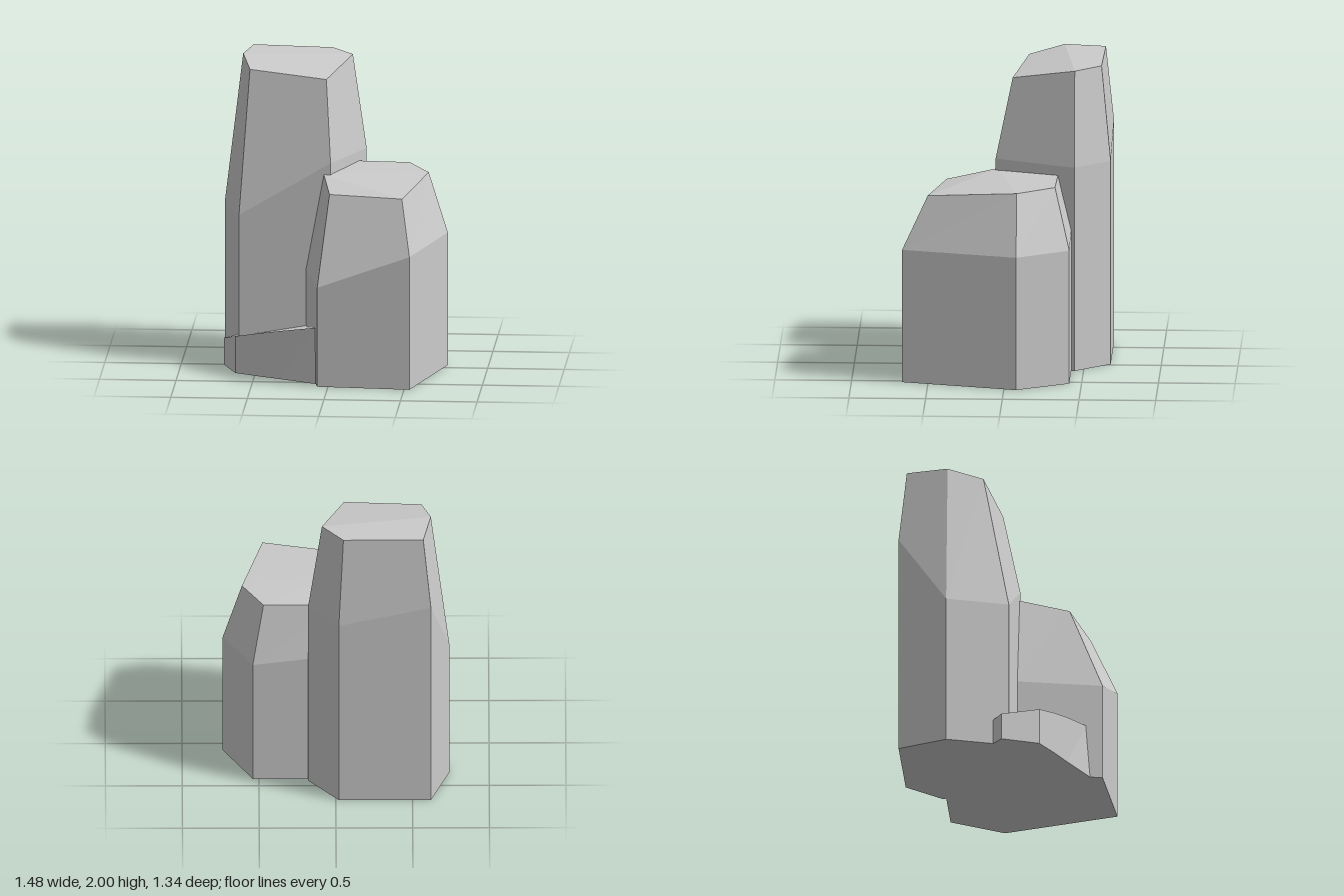
import * as THREE from 'three';

// Faceted rock lofted through rings of [x, y, z], each running counter-clockwise seen from above
function rock(name, rings, material) {
  const pos = [];
  const tri = (a, b, c) => pos.push(...a, ...b, ...c);
  const n = rings[0].length;
  for (let r = 0; r < rings.length - 1; r++) {
    const lo = rings[r], hi = rings[r + 1];
    for (let i = 0; i < n; i++) {
      const j = (i + 1) % n;
      tri(lo[i], lo[j], hi[j]);
      tri(lo[i], hi[j], hi[i]);
    }
  }
  // Caps fan out from the last (left-hand) corner
  const base = rings[0], top = rings[rings.length - 1];
  for (let i = 0; i < n - 2; i++) {
    tri(top[n - 1], top[i], top[i + 1]);
    tri(base[n - 1], base[i + 1], base[i]);
  }
  const g = new THREE.BufferGeometry();
  g.setAttribute('position', new THREE.Float32BufferAttribute(pos, 3));
  g.computeVertexNormals();
  const mesh = new THREE.Mesh(g, material);
  mesh.name = name;
  return mesh;
}

// Place a plan outline [x, z] on the ground or at a list of heights
const raise = (plan, heights) => plan.map(([x, z], i) => [x, heights ? heights[i] : 0, z]);

export function createModel() {
  const group = new THREE.Group();
  group.name = 'rockCluster';
  const stone = new THREE.MeshStandardMaterial({ color: 0xcccccc, flatShading: true });

  // Tall rock: upright sides to a sloping shoulder, then a taper to a tilted top
  const tallPlan = [[-0.62, 0.05], [-0.02, 0.08], [0.18, -0.44], [-0.02, -0.67], [-0.62, -0.67], [-0.74, -0.35]];
  const tallTop = [[-0.56, -0.12], [-0.055, -0.03], [0.09, -0.44], [-0.05, -0.61], [-0.57, -0.62], [-0.62, -0.35]];
  group.add(rock('tallRock', [
    raise(tallPlan),
    raise(tallPlan, [1.01, 1.37, 1.36, 1.36, 1.5, 1.01]),
    raise(tallTop, [1.945, 1.905, 1.985, 1.99, 2.0, 2.0]),
  ], stone));

  // Middle rock: wider and shorter, same build
  const midPlan = [[-0.07, 0.62], [0.535, 0.67], [0.735, -0.08], [0.54, -0.42], [-0.07, -0.42], [-0.185, 0.05]];
  const midTop = [[-0.005, 0.4], [0.475, 0.505], [0.61, -0.08], [0.47, -0.325], [-0.015, -0.335], [-0.065, 0.07]];
  group.add(rock('middleRock', [
    raise(midPlan),
    raise(midPlan, [0.66, 0.885, 0.885, 0.89, 0.97, 0.66]),
    raise(midTop, [1.235, 1.235, 1.285, 1.295, 1.3, 1.295]),
  ], stone));

  // Low rock: sloping slab wedged between the other two
  const lowPlan = [[-0.63, 0.25], [-0.48, 0.335], [-0.33, 0.41], [-0.085, 0.54], [0.1, 0.2], [-0.2, -0.2], [-0.65, -0.05], [-0.72, 0.01]];
  const lowTop = lowPlan.map(([x, z], i) => (i === 3 ? [x, 0.515] : [x, z]));
  group.add(rock('lowRock', [
    raise(lowPlan),
    raise(lowTop, [0.245, 0.285, 0.32, 0.37, 0.34, 0.27, 0.17, 0.18]),
  ], stone));

  return group;
}
